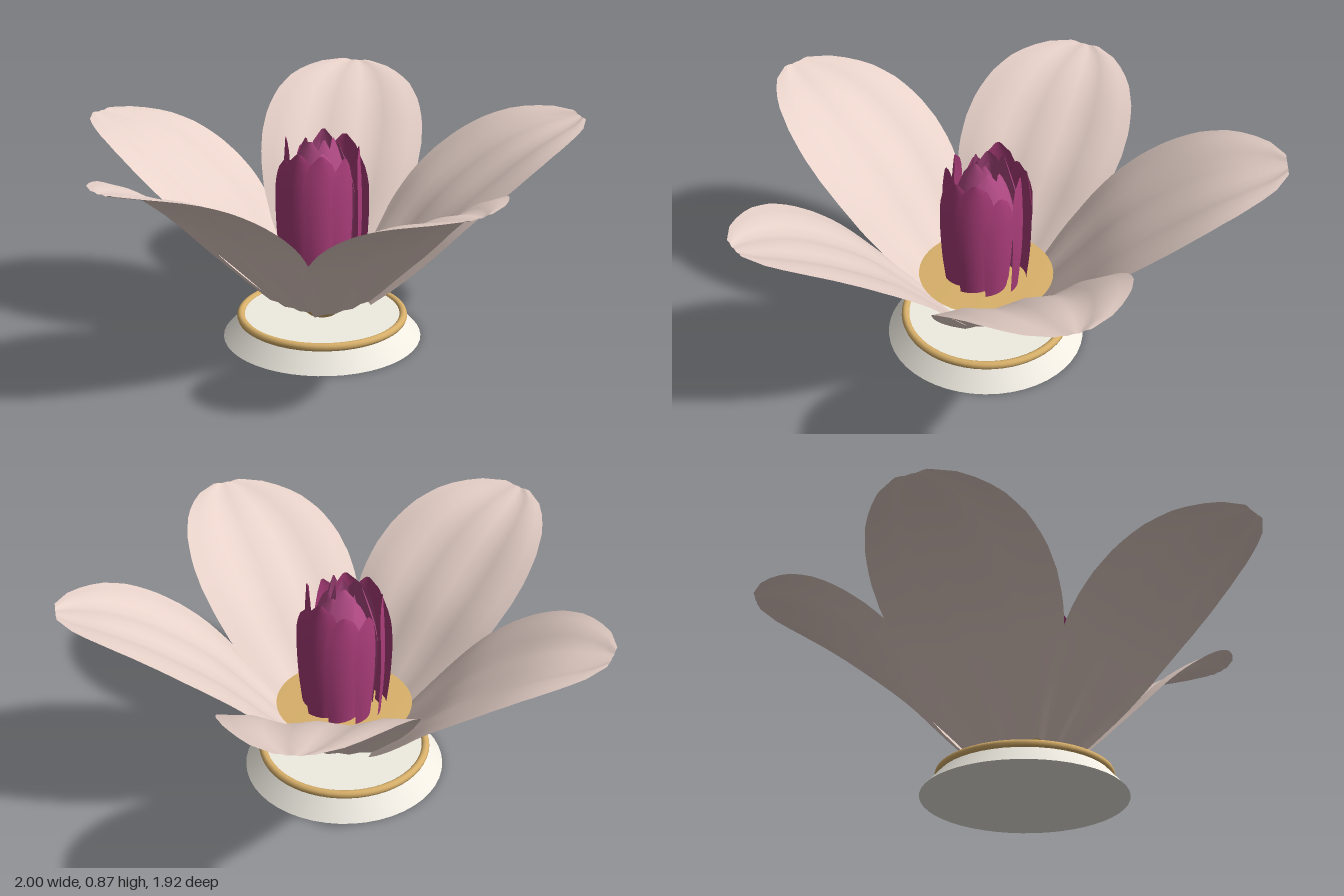
import * as THREE from 'three';

const paint = (color, side = THREE.FrontSide) => new THREE.MeshStandardMaterial({ color, side });
const petalMat = paint(0xe8d2ca, THREE.DoubleSide);
const budMat = paint(0xb04a84, THREE.DoubleSide);
const outerBudMat = paint(0xa83c78, THREE.DoubleSide);
const goldMat = paint(0xd8b06a);
const creamMat = paint(0xf0ece2);

const curve = (pts) => new THREE.SplineCurve(pts.map(([x, y]) => new THREE.Vector2(x, y)));

// Interpolate a list of [t, value] pairs
function sample(table, t) {
  let i = 1;
  while (i < table.length - 1 && t > table[i][0]) i++;
  const [t0, a] = table[i - 1], [t1, b] = table[i];
  return a + (b - a) * (t - t0) / (t1 - t0);
}

// A leaf swept along a rib of (radius, height), cupped and rolled towards the axis
function leaf(rib, widths, { cup, roll, ripple }, cols, rows) {
  const geo = new THREE.PlaneGeometry(1, 1, cols, rows);
  const pos = geo.attributes.position;
  for (let i = 0; i < pos.count; i++) {
    const u = pos.getX(i) * 2;
    const t = Math.min(1, Math.max(0, pos.getY(i) + 0.5));
    const p = rib.getPointAt(t), d = rib.getTangentAt(t);
    const w = sample(widths, t);
    const lift = w * (cup * u * u + roll * u + ripple * Math.cos(u * Math.PI * 3));
    pos.setXYZ(i, u * w, p.y + d.x * lift, p.x - d.y * lift);
  }
  geo.computeVertexNormals();
  return geo;
}

function add(group, name, geo, mat) {
  const mesh = new THREE.Mesh(geo, mat);
  mesh.name = name;
  group.add(mesh);
  return mesh;
}

const lathe = (pts, n = 48) => new THREE.LatheGeometry(pts.map(([x, y]) => new THREE.Vector2(x, y)), n);

export function createModel() {
  const flower = new THREE.Group();
  flower.name = 'flower';
  flower.position.set(0.022, 0, -0.05);

  // Stand with a gold rim
  const stand = add(flower, 'stand', new THREE.CylinderGeometry(0.31, 0.39, 0.09, 48), creamMat);
  stand.position.y = 0.045;
  const rim = add(flower, 'standRim', new THREE.TorusGeometry(0.32, 0.016, 10, 56), goldMat);
  rim.rotation.x = Math.PI / 2;
  rim.position.y = 0.085;

  // Gold cup holding the petals
  add(flower, 'cup', lathe([[0.05, 0.085], [0.085, 0.115], [0.13, 0.16], [0.195, 0.232], [0.262, 0.288]]), goldMat);
  add(flower, 'cupTop', lathe([[0.262, 0.288], [0.15, 0.292], [0.001, 0.294]]), goldMat);

  // Five wide petals, each overlapping the next: [angle in degrees, reach, tip height]
  const outline = [[0, 0.125], [0.1, 0.195], [0.2, 0.25], [0.32, 0.298], [0.44, 0.327], [0.54, 0.337],
    [0.64, 0.332], [0.74, 0.307], [0.83, 0.263], [0.9, 0.21], [0.96, 0.142], [1, 0.06]];
  const petals = new THREE.Group();
  petals.name = 'petals';
  flower.add(petals);
  for (const [angle, reach, tip] of [[-5.5, 1, 0.79], [67.5, 1.035, 0.83], [137, 1.08, 0.86], [208.5, 1.01, 0.79], [281.5, 1.035, 0.83]]) {
    const rib = curve([[0.165, 0.155], [0.33, 0.352], [0.49, 0.53], [0.68, 0.68], [0.84, 0.768], [1.01, 0.82]]
      .map(([r, y]) => [0.165 + (r - 0.165) * (reach - 0.165) / 0.845, 0.155 + (y - 0.155) * (tip - 0.155) / 0.665]));
    const petal = add(petals, 'petal', leaf(rib, outline, { cup: 0.09, roll: 0.06, ripple: 0.025 }, 12, 24), petalMat);
    petal.rotation.y = THREE.MathUtils.degToRad(angle);
  }

  // Upright bud: nested rings of overlapping petals, each turned like a pinwheel
  const bud = new THREE.Group();
  bud.name = 'bud';
  flower.add(bud);
  const slim = [[0, 0.7], [0.25, 0.88], [0.6, 1], [0.8, 0.95], [0.9, 0.75], [0.96, 0.48], [1, 0.12]];
  const rings = [
    { name: 'outerBudPetal', n: 10, base: 0.145, belly: 0.158, tip: 0.148, top: 0.76, half: 0.074, yaw: 0.4, mat: outerBudMat },
    { name: 'middleBudPetal', n: 8, base: 0.1, belly: 0.112, tip: 0.06, top: 0.79, half: 0.066, yaw: 0.3, mat: budMat },
    { name: 'innerBudPetal', n: 6, base: 0.06, belly: 0.07, tip: 0.035, top: 0.77, half: 0.046, yaw: 0.3, mat: budMat },
  ];
  rings.forEach((ring, k) => {
    const widths = slim.map(([t, w]) => [t, w * ring.half]);
    for (let i = 0; i < ring.n; i++) {
      const top = ring.top + 0.035 * Math.sin(i * 2.4 + k);
      const rib = curve([[0, 0.27], [ring.belly - ring.base, 0.45], [ring.belly - ring.base, 0.62], [ring.tip - ring.base, top]]);
      const holder = new THREE.Group();
      holder.rotation.y = (i + k * 0.4) / ring.n * Math.PI * 2;
      bud.add(holder);
      const blade = add(holder, ring.name, leaf(rib, widths, { cup: 0.3, roll: 0, ripple: 0 }, 6, 14), ring.mat);
      blade.position.z = ring.base;
      blade.rotation.y = ring.yaw;
    }
  });

  // Pale gold pistil in the middle
  const pistil = add(flower, 'pistil', new THREE.CylinderGeometry(0.022, 0.035, 0.42, 16), goldMat);
  pistil.position.y = 0.49;

  const model = new THREE.Group();
  model.add(flower);
  return model;
}
